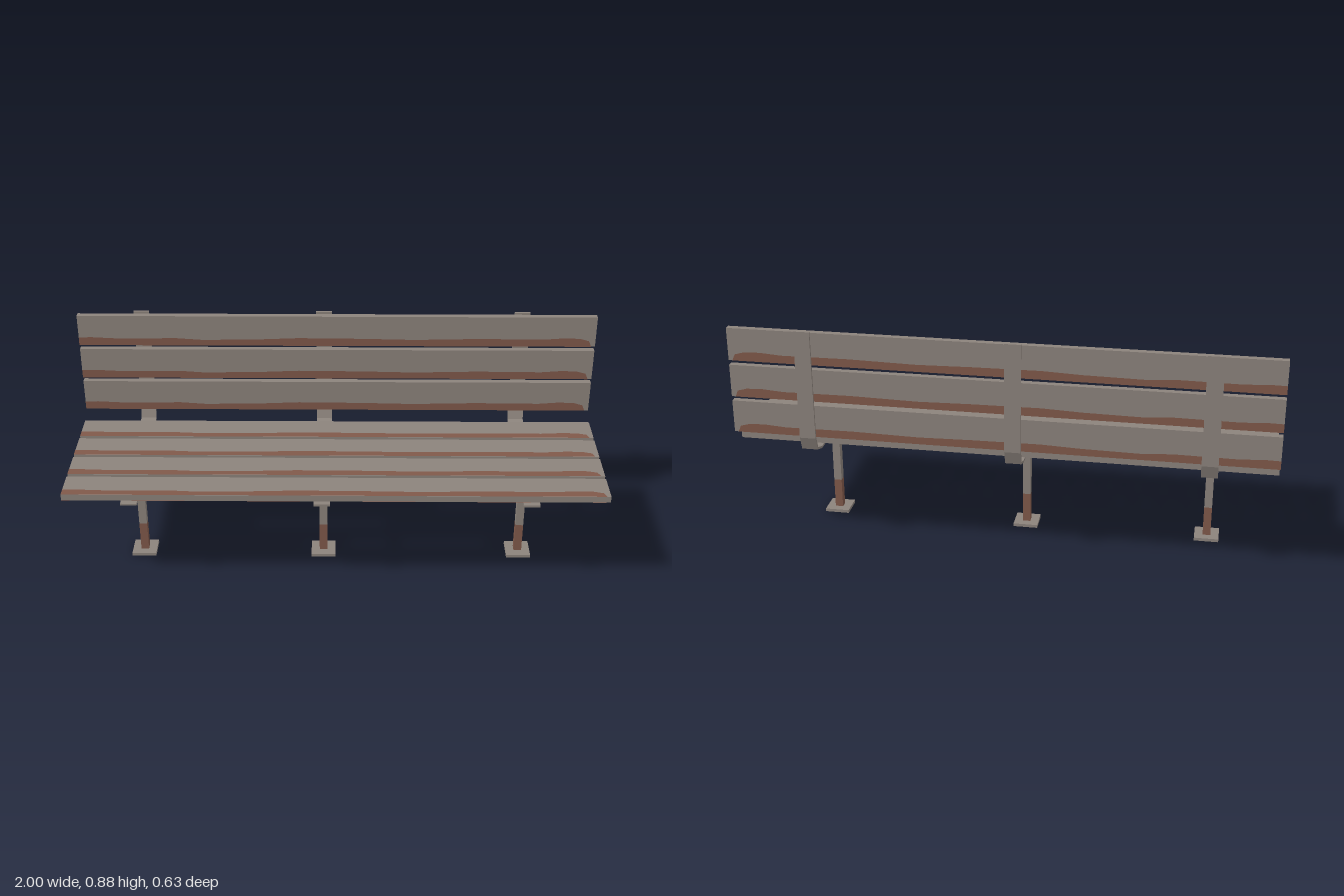
import * as THREE from 'three';

export function createModel() {
  const bench = new THREE.Group();
  bench.name = 'bench';
  const grey = new THREE.MeshStandardMaterial({ color: 0x8c837c });
  grey.name = 'weathered grey';
  const rust = new THREE.MeshStandardMaterial({ color: 0x80594a, side: THREE.DoubleSide });
  rust.name = 'rust brown';

  const add = (parent, name, geometry, material, x = 0, y = 0, z = 0) => {
    const mesh = new THREE.Mesh(geometry, material);
    mesh.name = name;
    mesh.position.set(x, y, z);
    parent.add(mesh);
    return mesh;
  };

  // Slats: one plank with a wavy stain along its lower edge on both faces
  const H = 0.124, T = 0.024;
  const plankGeo = new THREE.BoxGeometry(2, H, T);
  const stain = new THREE.Shape([
    [-1, 0], [0.985, 0], [0.975, 0.024], [0.94, 0.034], [0.88, 0.036], [0.8, 0.03], [0.55, 0.032],
    [0.3, 0.027], [0.1, 0.031], [-0.15, 0.033], [-0.3, 0.027], [-0.52, 0.024],
    [-0.62, 0.031], [-0.85, 0.029], [-0.95, 0.034], [-1, 0.033],
  ].map(([x, y]) => new THREE.Vector2(x, y - H / 2)));
  const stainGeo = new THREE.ShapeGeometry(stain);

  const slat = (name, y, z, tilt) => {
    const group = new THREE.Group();
    group.name = name;
    add(group, 'plank', plankGeo, grey);
    for (const side of [1, -1]) add(group, 'stain', stainGeo, rust, 0, 0, side * (T / 2 + 0.001));
    group.position.set(0, y, z);
    group.rotation.x = tilt;
    bench.add(group);
  };
  [0.248, 0.107, -0.033, -0.174].forEach((z) => slat('seatSlat', 0.42, z, -Math.PI / 2));
  [0.524, 0.665, 0.807].forEach((y) => slat('backSlat', y, -0.29, 0));

  // Bent strap profile as (z, y), extruded across its width
  const W = 0.06;
  const profile = new THREE.Shape([
    [0.318, 0.391], [0.318, 0.399], [-0.243, 0.399], [-0.29, 0.415], [-0.307, 0.462], [-0.307, 0.875],
    [-0.315, 0.875], [-0.315, 0.46], [-0.297, 0.408], [-0.245, 0.391],
  ].map(([z, y]) => new THREE.Vector2(z, y)));
  const strapGeo = new THREE.ExtrudeGeometry(profile, { depth: W, bevelEnabled: false });
  strapGeo.translate(0, 0, -W / 2).rotateY(-Math.PI / 2);

  // Three supports: strap, post with rusty foot, base plate
  for (const x of [-0.755, -0.05, 0.715]) {
    const support = new THREE.Group();
    support.name = 'support';
    support.position.x = x;
    add(support, 'strap', strapGeo, grey);
    add(support, 'post', new THREE.BoxGeometry(0.03, 0.261, 0.03), grey, 0, 0.2605, 0.033);
    add(support, 'postFoot', new THREE.BoxGeometry(0.03, 0.118, 0.03), rust, 0, 0.071, 0.033);
    add(support, 'basePlate', new THREE.BoxGeometry(0.094, 0.012, 0.094), grey, 0, 0.006, 0.034);
    bench.add(support);
  }
  return bench;
}
